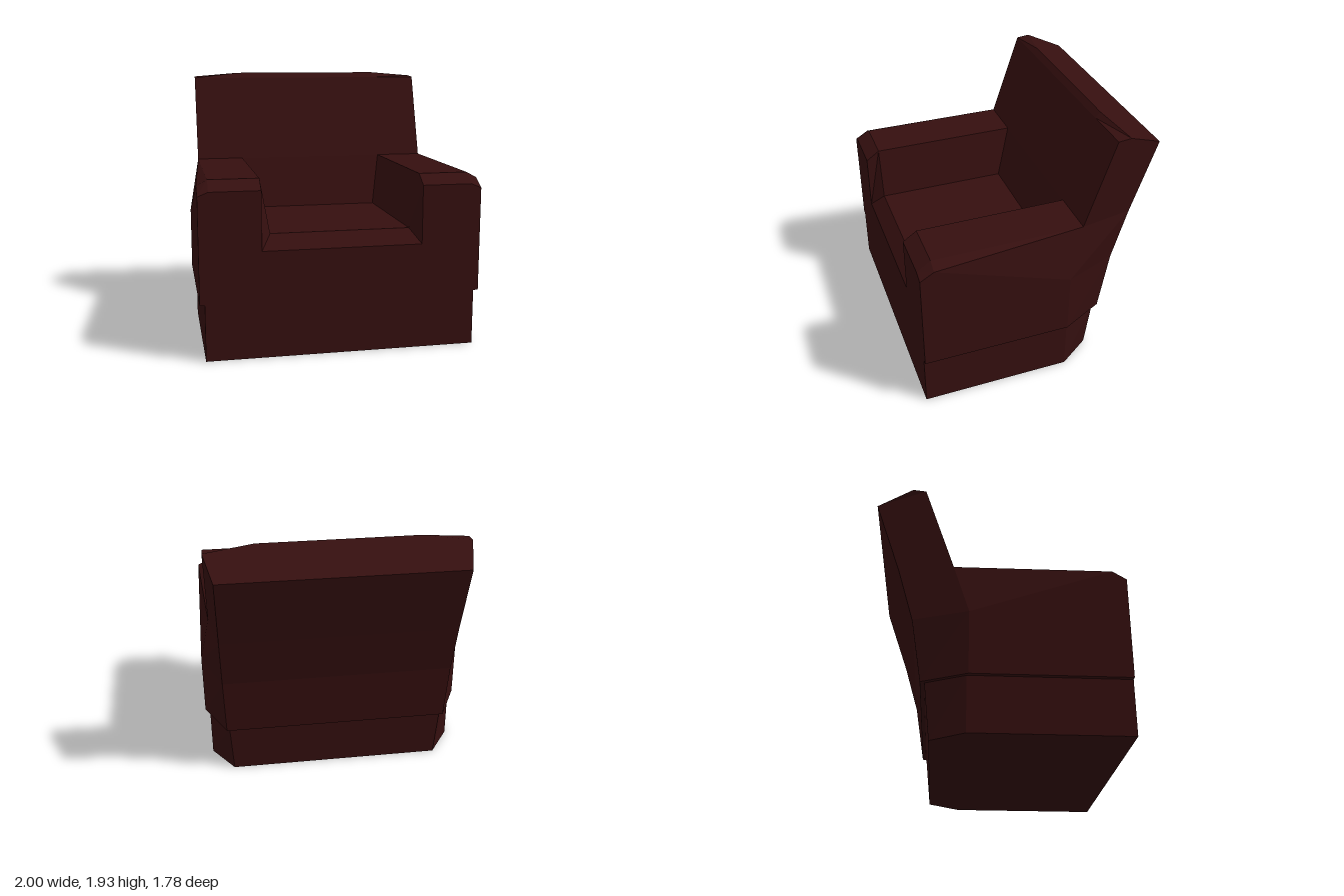
import * as THREE from 'three';

const flip = ([x, y, z]) => [-x, y, z];

// One flat polygon (counter-clockwise from outside), split as a fan
function fan(out, pts) {
  for (let i = 1; i < pts.length - 1; i++) out.push(...pts[0], ...pts[i], ...pts[i + 1]);
}

// strip: left-edge profile spanned across to its mirror image
// sides: polygons on the left, repeated mirrored on the right
function part(name, material, strips, sides = []) {
  const out = [];
  for (const s of strips)
    for (let i = 0; i < s.length - 1; i++)
      fan(out, [s[i], s[i + 1], flip(s[i + 1]), flip(s[i])]);
  for (const p of sides) {
    fan(out, p);
    fan(out, p.map(flip).reverse());
  }
  const geo = new THREE.BufferGeometry();
  geo.setAttribute('position', new THREE.Float32BufferAttribute(out, 3));
  geo.computeVertexNormals();
  const mesh = new THREE.Mesh(geo, material);
  mesh.name = name;
  return mesh;
}

export function createModel() {
  const group = new THREE.Group();
  group.name = 'armchair';
  const leather = new THREE.MeshStandardMaterial({ color: 0x350f0f, side: THREE.DoubleSide });
  leather.name = 'dark red leather';

  // Shared corners on the left half
  const seatLip = [0.57, 0.76, 0.89], seatFront = [0.5, 0.86, 0.79], seatBack = [0.5, 0.86, -0.21];
  const armInFront = [0.57, 1.18, 0.89], armInTop = [0.57, 1.25, 0.79], armInBack = [0.57, 1.25, -0.32];
  const armFront = [0.925, 1.18, 0.89], armTop = [0.925, 1.25, 0.79], armBack = [0.925, 1.25, -0.32];
  const outFront = [1, 1.15, 0.89], outTop = [1, 1.21, 0.79], outBack = [1, 0.86, -0.21];
  const bodyFront = [1, 0.4, 0.89], bodySide = [1, 0.4, -0.21], bodyBack = [0.84, 0.4, -0.53];
  const rearLow = [0.85, 0.86, -0.6], rearMid = [0.855, 1.25, -0.71], rearTop = [0.86, 1.79, -0.89];
  const faceTop = [0.925, 1.89, -0.535], faceTopIn = [0.57, 1.89, -0.535];
  const crest = [0.57, 1.93, -0.57], crestEnd = [0.925, 1.9, -0.63];
  const footFront = [0.965, 0, 0.89], footSide = [0.965, 0, -0.22], footBack = [0.8, 0, -0.46];
  const plinthFront = [0.965, 0.4, 0.89], plinthSide = [0.965, 0.4, -0.22], plinthBack = [0.82, 0.4, -0.5];

  // Recessed plinth
  group.add(part('plinth', leather,
    [[plinthBack, footBack, footSide, footFront, plinthFront]],
    [[footFront, footSide, plinthSide, plinthFront],
      [footSide, footBack, plinthBack, plinthSide]]));

  // Front panel and the underside lip above the plinth
  group.add(part('body', leather, [[bodyBack, bodySide, bodyFront, [1, 0.76, 0.89]]]));

  // Seat with sloping front edge
  group.add(part('seat', leather, [[seatLip, seatFront, seatBack]]));

  // Armrests with bevelled tops
  group.add(part('armrests', leather, [], [
    [seatLip, [1, 0.76, 0.89], outFront, armFront, armInFront],
    [armInFront, armFront, armTop, armInTop],
    [armFront, outFront, outTop, armTop],
    [armInTop, armTop, armBack, armInBack],
    [armTop, outTop, armBack],
    [outTop, outBack, armBack],
    [bodyFront, bodySide, outBack, outTop, outFront],
    [seatBack, seatFront, armInTop, armInBack],
    [seatFront, seatLip, armInFront, armInTop],
  ]));

  // Leaning backrest, running down to the plinth behind
  group.add(part('backrest', leather,
    [[seatBack, armInBack], [armBack, faceTop], [faceTopIn, crest, rearTop, rearMid, rearLow, bodyBack]],
    [[faceTopIn, faceTop, crestEnd, crest],
      [crest, crestEnd, rearTop],
      [armBack, rearMid, rearTop, crestEnd, faceTop],
      [outBack, rearLow, rearMid, armBack],
      [bodySide, bodyBack, rearLow, outBack]]));

  return group;
}
